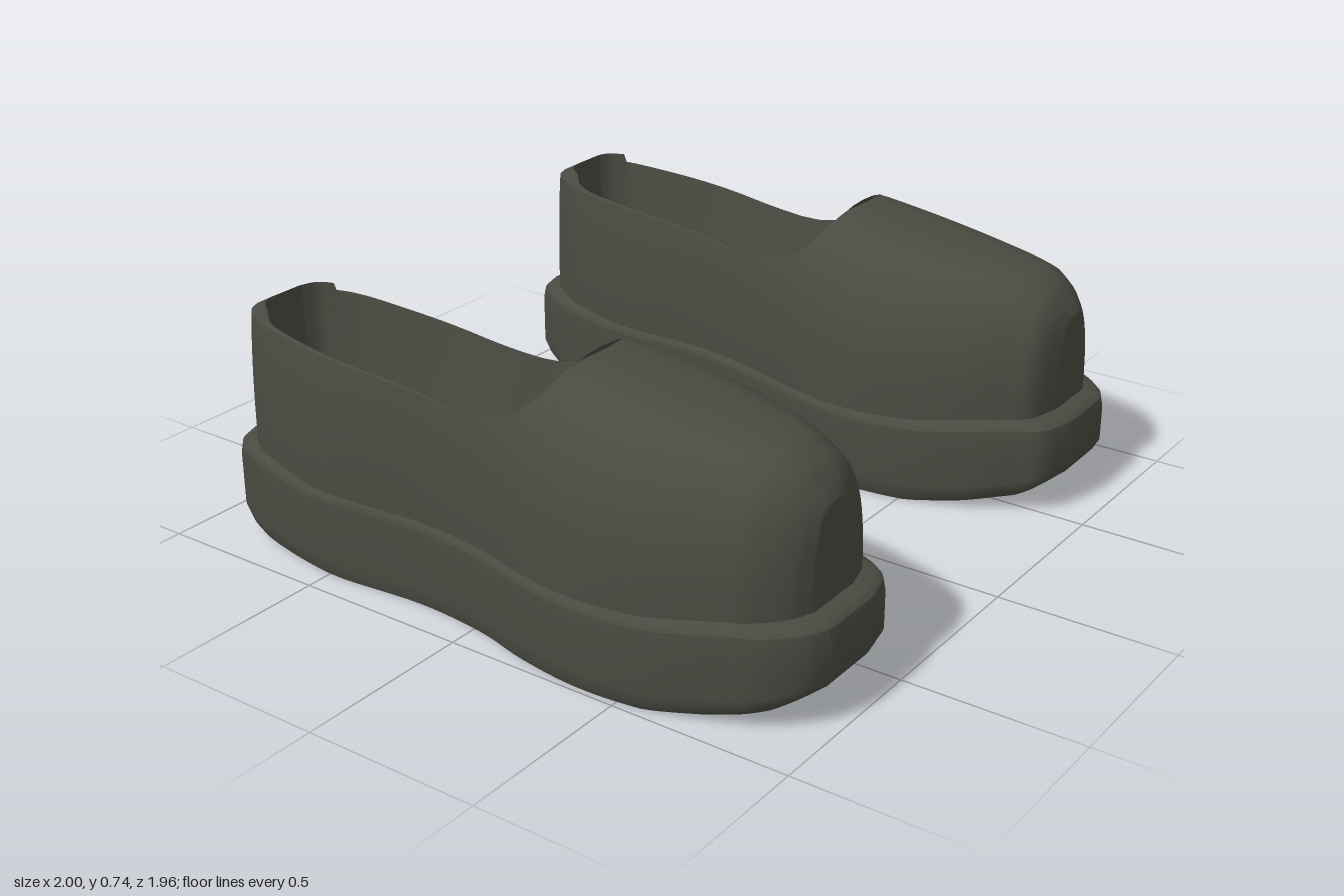
import * as THREE from 'three';

// Piecewise linear lookup over [key, value...] rows with rising keys
const lookup = (rows, k, col = 1) => {
  if (k <= rows[0][0]) return rows[0][col];
  for (let i = 1; i < rows.length; i++) {
    const a = rows[i - 1], b = rows[i];
    if (k <= b[0]) return a[col] + (b[col] - a[col]) * (k - a[0]) / (b[0] - a[0]);
  }
  return rows[rows.length - 1][col];
};

// Sole plan: z, inner edge x, outer edge x
const PLAN = [
  [-0.925, 0.64, 0.78], [-0.905, 0.58, 0.83], [-0.855, 0.54, 0.87], [-0.775, 0.497, 0.90],
  [-0.53, 0.463, 0.933], [-0.2, 0.457, 0.912], [0.03, 0.405, 0.933], [0.2, 0.355, 0.975],
  [0.4, 0.318, 1.0], [0.59, 0.334, 0.985], [0.775, 0.39, 0.935], [0.855, 0.43, 0.906],
  [0.935, 0.48, 0.84], [0.972, 0.585, 0.77],
];
const spline = new THREE.CatmullRomCurve3(PLAN.map(p => new THREE.Vector3(...p)));
const DENSE = Array.from({ length: 79 }, (_, i) => spline.getPoint(i / 78).toArray());

// Heights along z
const SOLE_BOTTOM = [[-0.93, 0.02], [-0.5, 0], [0.6, 0], [0.75, 0.02], [0.9, 0.05], [0.97, 0.08]];
const SOLE_TOP = [[-0.93, 0.27], [-0.75, 0.255], [-0.6, 0.235], [0.3, 0.23], [0.6, 0.24], [0.8, 0.265], [0.97, 0.275]];
const CROWN = [[-0.86, 0.86], [-0.5, 0.8], [0, 0.77], [0.24, 0.742], [0.4, 0.717], [0.6, 0.685],
  [0.72, 0.666], [0.8, 0.645], [0.86, 0.61], [0.895, 0.565], [0.915, 0.53]];
const RIM = [[-0.86, 0.64], [-0.75, 0.63], [-0.35, 0.598], [-0.1, 0.568], [-0.03, 0.568], [0.06, 0.59],
  [0.13, 0.615], [0.18, 0.67], [0.225, 0.735], [0.24, 0.742]];
const THROAT = 0.24, MID = 0.023, UPPER = 0.935, POWER = 2.6;

// Cross-section at one z: middle and half width
const section = z => {
  const a = lookup(DENSE, z, 1), b = lookup(DENSE, z, 2);
  return { z, m: (a + b) / 2, w: (b - a) / 2 };
};
// Stations run from toe to heel; the ends close on the middle line
const stations = DENSE.map(d => section(d[0])).reverse();
const first = stations[0], last = stations[stations.length - 1];
const ring = [{ ...first, w: 0 }, ...stations, { ...last, w: 0 }];
const shrinkZ = (z, s) => MID + (z - MID) * s;
const at = (st, s, sgn, y) => [st.m + sgn * st.w * s, y, shrinkZ(st.z, s)];

// Upper stations, with the throat placed exactly
const upper = ring.map(st => ({ m: st.m, w: st.w * UPPER, z: shrinkZ(st.z, UPPER) }));
const extra = [THROAT, 0.225, 0.18, 0.13].map(z => {
  const s = section(shrinkZ(z, 1 / UPPER));
  return { m: s.m, w: s.w * UPPER, z };
});
const front = [...upper.filter(s => s.z > THROAT + 0.01), extra[0]];
const rear = [...upper.filter(s => s.z < THROAT - 0.005), ...extra].sort((a, b) => b.z - a.z);

// Point on the arched upper at an angle: 0 inner base, PI/2 crown, PI outer base
const arch = (st, ang) => {
  const c = Math.cos(ang), base = lookup(SOLE_TOP, st.z) - 0.01;
  const y = base + (lookup(CROWN, st.z) - base) * Math.abs(Math.sin(ang)) ** (2 / POWER);
  return [st.m - Math.sign(c) * st.w * Math.abs(c) ** (2 / POWER), y, st.z];
};
// Angle at which the arch reaches a height
const angleAt = (z, y) => {
  const base = lookup(SOLE_TOP, z) - 0.01;
  const u = Math.min(1, (y - base) / (lookup(CROWN, z) - base));
  return Math.asin(u ** (POWER / 2));
};

// Smooth surface through rows of points; side -1 mirrors it
function grid(rows, side) {
  const n = rows[0].length, pos = [], idx = [];
  rows.forEach(r => r.forEach(p => pos.push(p[0] * side, p[1], p[2])));
  for (let i = 0; i < rows.length - 1; i++) for (let j = 0; j < n - 1; j++) {
    const a = i * n + j, b = a + 1, d = a + n, c = d + 1;
    if (side > 0) idx.push(a, b, c, a, c, d);
    else idx.push(a, c, b, a, d, c);
  }
  const g = new THREE.BufferGeometry();
  g.setAttribute('position', new THREE.Float32BufferAttribute(pos, 3));
  g.setIndex(idx);
  g.computeVertexNormals();
  return g;
}

function makeShoe(side, mat) {
  const shoe = new THREE.Group();
  const add = (name, rows) => {
    const mesh = new THREE.Mesh(grid(rows, side), mat);
    mesh.name = name;
    shoe.add(mesh);
  };
  // Inner and outer halves from one upward profile
  const halves = (name, list, profile) => {
    add(name + 'Inner', list.map(st => profile(st, -1)));
    add(name + 'Outer', list.map(st => profile(st, 1).reverse()));
  };
  const low = st => lookup(SOLE_BOTTOM, st.z), top = st => lookup(SOLE_TOP, st.z);
  const hollow = st => low(st) + 0.06;

  // Sole: side band, top ledge, hollow underside
  halves('soleBand', ring, (st, s) => [
    at(st, 0.955, s, low(st)), at(st, 0.98, s, low(st) + 0.02), at(st, 1, s, low(st) + 0.055),
    at(st, 1, s, top(st) - 0.05), at(st, 0.992, s, top(st) - 0.015)]);
  halves('soleLedge', ring, (st, s) => [
    at(st, 0.992, s, top(st) - 0.015), at(st, 0.975, s, top(st)), at(st, 0.93, s, top(st) + 0.005)]);
  halves('soleRecess', ring, (st, s) => [at(st, 0.94, s, hollow(st)), at(st, 0.955, s, low(st))]);
  add('soleUnderside', ring.map(st => [at(st, 0.94, 1, hollow(st)), at(st, 0.94, -1, hollow(st))]));

  // Vamp: closed arches from toe to throat
  add('vamp', front.map(st => Array.from({ length: 29 }, (_, j) => arch(st, j / 28 * Math.PI))));

  // Quarters: arches cut off at the collar
  const rim = st => lookup(RIM, st.z);
  halves('quarter', rear, (st, s) => Array.from({ length: 11 }, (_, j) => {
    const a = angleAt(st.z, rim(st)) * j / 10;
    return arch(st, s < 0 ? a : Math.PI - a);
  }));

  // Collar edge and lining, sloping in to the footbed
  const rimAt = (st, s) => {
    const a = angleAt(st.z, rim(st));
    return arch(st, s < 0 ? a : Math.PI - a);
  };
  const inside = (st, s, fx, fz, y) => {
    const p = rimAt(st, s);
    return [st.m + (p[0] - st.m) * fx, y, st.z < 0 ? st.z * fz : st.z];
  };
  const tab = st => rim(st) + (st.z < -0.8 ? 0.028 : 0);
  const open = rear.filter(st => st.z < 0.2);
  halves('collar', open, (st, s) => [inside(st, s, 0.96, 0.94, tab(st)), rimAt(st, s)].reverse());
  halves('lining', open, (st, s) => [
    inside(st, s, 0.96, 0.94, tab(st)), inside(st, s, 0.8, 0.92, 0.42), inside(st, s, 0.65, 0.9, 0.26)]);
  add('footbed', upper.filter(st => st.z < 0.7).map(st =>
    [-1, 1].map(s => [st.m + s * st.w * 0.6, 0.26, st.z < 0 ? st.z * 0.9 : st.z])));

  // Tongue: slanted panel from the throat arch down into the opening
  const t = extra[1], a0 = angleAt(t.z, 0.6);
  const edge = Array.from({ length: 15 }, (_, j) => arch(t, a0 + (Math.PI - 2 * a0) * j / 14));
  add('tongue', [edge, edge.map((p, j) => [t.m + 0.015 + (j / 7 - 1) * 0.195, 0.5, 0.09])]);
  return shoe;
}

export function createModel() {
  const model = new THREE.Group();
  const mat = new THREE.MeshStandardMaterial({ color: 0x4a4a42, side: THREE.DoubleSide });
  mat.name = 'dark leather';

  const rightShoe = makeShoe(-1, mat);
  rightShoe.name = 'rightShoe';
  const leftShoe = makeShoe(1, mat);
  leftShoe.name = 'leftShoe';
  leftShoe.rotation.y = 0.014;
  leftShoe.position.set(-0.011, 0, -0.05);
  model.add(rightShoe, leftShoe);
  return model;
}
